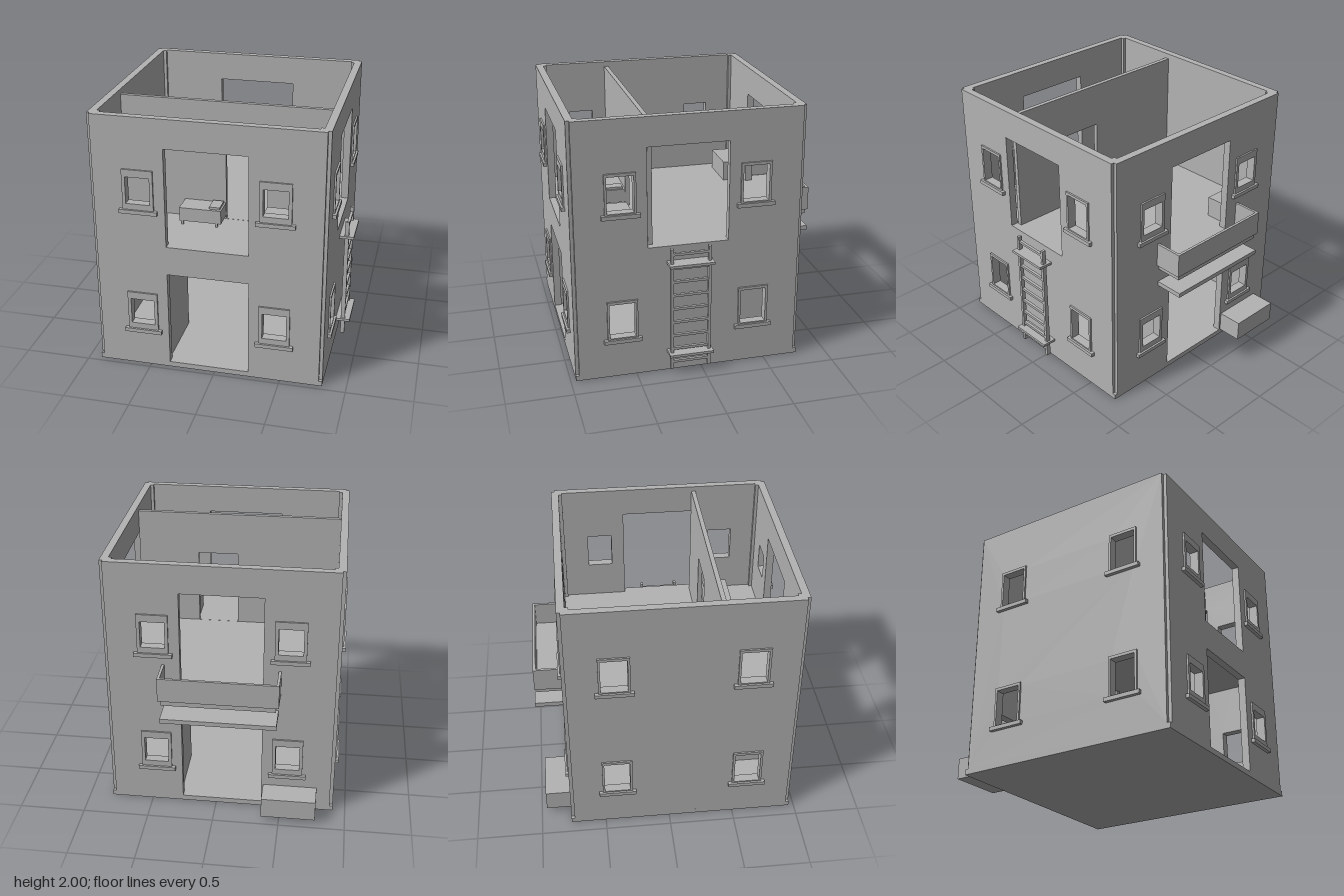
import * as THREE from 'three';

export function createModel() {
  const model = new THREE.Group();
  model.name = 'twoStoreyHouse';
  const plaster = new THREE.MeshStandardMaterial({ color: 0xb3b3b3 });
  plaster.name = 'plasterGrey';

  // House outline, wall thickness and floor levels
  const X0 = -0.905, X1 = 0.82, Z0 = -0.77, Z1 = 0.96, T = 0.057;
  const GROUND = 0.04, UPPER = 1.02, TOP = 2, NOTCH = 0.025;

  function add(name, geometry, parent = model) {
    const mesh = new THREE.Mesh(geometry, plaster);
    mesh.name = name;
    parent.add(mesh);
    return mesh;
  }

  // Box given by its limits on each axis
  function box(name, x0, x1, y0, y1, z0, z1, parent = model) {
    const mesh = add(name, new THREE.BoxGeometry(x1 - x0, y1 - y0, z1 - z0), parent);
    mesh.position.set((x0 + x1) / 2, (y0 + y1) / 2, (z0 + z1) / 2);
    return mesh;
  }

  function trace(path, [a, b, c, d]) {
    path.moveTo(a, c);
    path.lineTo(b, c);
    path.lineTo(b, d);
    path.lineTo(a, d);
    path.closePath();
    return path;
  }

  // Upright panel with rectangular holes; rects are [u0, u1, y0, y1]
  function panel(name, rect, holes, depth, parent = model) {
    const shape = trace(new THREE.Shape(), rect);
    for (const hole of holes) shape.holes.push(trace(new THREE.Path(), hole));
    return add(name, new THREE.ExtrudeGeometry(shape, { depth, bevelEnabled: false }), parent);
  }

  // Windows: centres along each wall and sizes
  const LIFT = 0.987;
  const kinds = {
    end: { centres: [-0.545, 0.455], hole: [0.09, 0.36, 0.565] },
    side: { centres: [-0.4, 0.6], hole: [0.0975, 0.325, 0.6] },
  };
  function windowHoles({ centres, hole: [half, y0, y1] }) {
    return centres.flatMap(c => [0, LIFT].map(l => [c - half, c + half, y0 + l, y1 + l]));
  }

  // A wall with its window frames and sills
  function wall(name, kind, doors, side, sign) {
    const group = new THREE.Group();
    group.name = name;
    const holes = windowHoles(kind);
    const [a, b] = side ? [Z0, Z1] : [X0, X1];
    const rect = [a + NOTCH, b - NOTCH, GROUND, TOP];
    // w is the distance outwards from the wall's outer face
    const place = (mesh, w0, depth) => {
      mesh.position.z = sign > 0 ? w0 : -w0 - depth;
    };
    place(panel(name + 'Panel', rect, [...holes, ...doors], T, group), -T, T);
    kind.centres.forEach((c, i) => [0, LIFT].forEach((l, j) => {
      const hole = holes[i * 2 + j];
      const frame = panel('windowFrame', [c - 0.115, c + 0.115, 0.31 + l, 0.622 + l], [hole], 0.013, group);
      place(frame, 0, 0.013);
      const sill = panel('windowSill', [c - 0.142, c + 0.142, 0.285 + l, 0.315 + l], [], 0.028, group);
      place(sill, 0, 0.028);
    }));
    if (side) {
      // Turned so that the panel runs along z
      group.rotation.y = -Math.PI / 2;
      group.children.forEach(m => {
        const depth = m.geometry.parameters.options.depth;
        m.position.z = -m.position.z - depth;
      });
      group.position.x = sign > 0 ? X1 : X0;
    } else {
      group.position.z = sign > 0 ? Z1 : Z0;
    }
    model.add(group);
  }

  const doors = [[-0.35, 0.26, 0.041, 0.795], [-0.35, 0.26, UPPER, 1.78]];
  wall('frontWall', kinds.end, doors, false, 1);
  wall('backWall', kinds.end, doors, false, -1);
  wall('leftWall', kinds.side, [[-0.2, 0.405, UPPER, 1.78]], true, 1);
  wall('rightWall', kinds.side, [], true, -1);

  // Floors and inner corner posts
  box('groundFloor', X0, X1, 0, GROUND, Z0, Z1);
  box('upperFloor', X0 + T, X1 - T, 0.98, UPPER, Z0 + T, Z1 - T);
  for (const x of [X0 + T, X1 - T - 0.025])
    for (const z of [Z0 + T, Z1 - T - 0.025])
      box('cornerPost', x, x + 0.025, GROUND, TOP, z, z + 0.025);

  // Inner walls
  panel('upperPartition', [X0 + T, X1 - T, UPPER, 1.96], [[-0.04, 0.28, UPPER + 0.001, 1.625]], 0.034)
    .position.z = 0.358;
  box('lowerFrontPartition', -0.4, -0.365, GROUND, 0.98, 0.385, Z1 - T);
  box('lowerBackPartition', 0.28, 0.315, GROUND, 0.98, Z0 + T, -0.22);

  // Balcony, canopy below it and the outdoor crate
  box('balconyFloor', -0.46, 0.375, 0.98, UPPER, -0.97, Z0);
  box('balconyFrontRail', -0.482, 0.395, UPPER, 1.205, -0.983, -0.963);
  box('balconyRightRail', -0.482, -0.462, UPPER, 1.205, -0.963, Z0);
  box('balconyLeftRail', 0.375, 0.395, UPPER, 1.205, -0.963, Z0);
  box('canopy', -0.468, 0.383, 0.84, 0.875, -0.99, Z0);
  box('crate', -0.775, -0.365, GROUND, 0.2, -0.96, Z0);

  // Ladder with two wall brackets
  const ladder = new THREE.Group();
  ladder.name = 'ladder';
  model.add(ladder);
  for (const z of [-0.055, 0.23]) box('ladderRail', 0.858, 0.89, GROUND, UPPER, z, z + 0.022, ladder);
  for (let i = 0; i < 9; i++) {
    const y = 0.087 + i * 0.1097;
    box('ladderRung', 0.863, 0.885, y, y + 0.02, -0.035, 0.232, ladder);
  }
  for (const y of [0.155, 0.885]) box('ladderBracket', X1, 0.93, y, y + 0.02, -0.07, 0.265, ladder);

  // Bed
  const bed = new THREE.Group();
  bed.name = 'bed';
  model.add(bed);
  box('mattress', -0.365, -0.042, 1.05, 1.157, 0.392, 0.562, bed);
  box('pillow', -0.138, -0.055, 1.157, 1.175, 0.41, 0.54, bed);
  for (const x of [-0.35, -0.085])
    for (const z of [0.397, 0.542]) box('bedLeg', x, x + 0.015, UPPER, 1.05, z, z + 0.015, bed);

  // Upstairs chests
  box('backChest', -0.755, -0.41, UPPER, 1.18, Z0 + T, -0.535);
  box('frontChest', 0.29, 0.62, UPPER, 1.18, 0.45, 0.648);

  return model;
}
